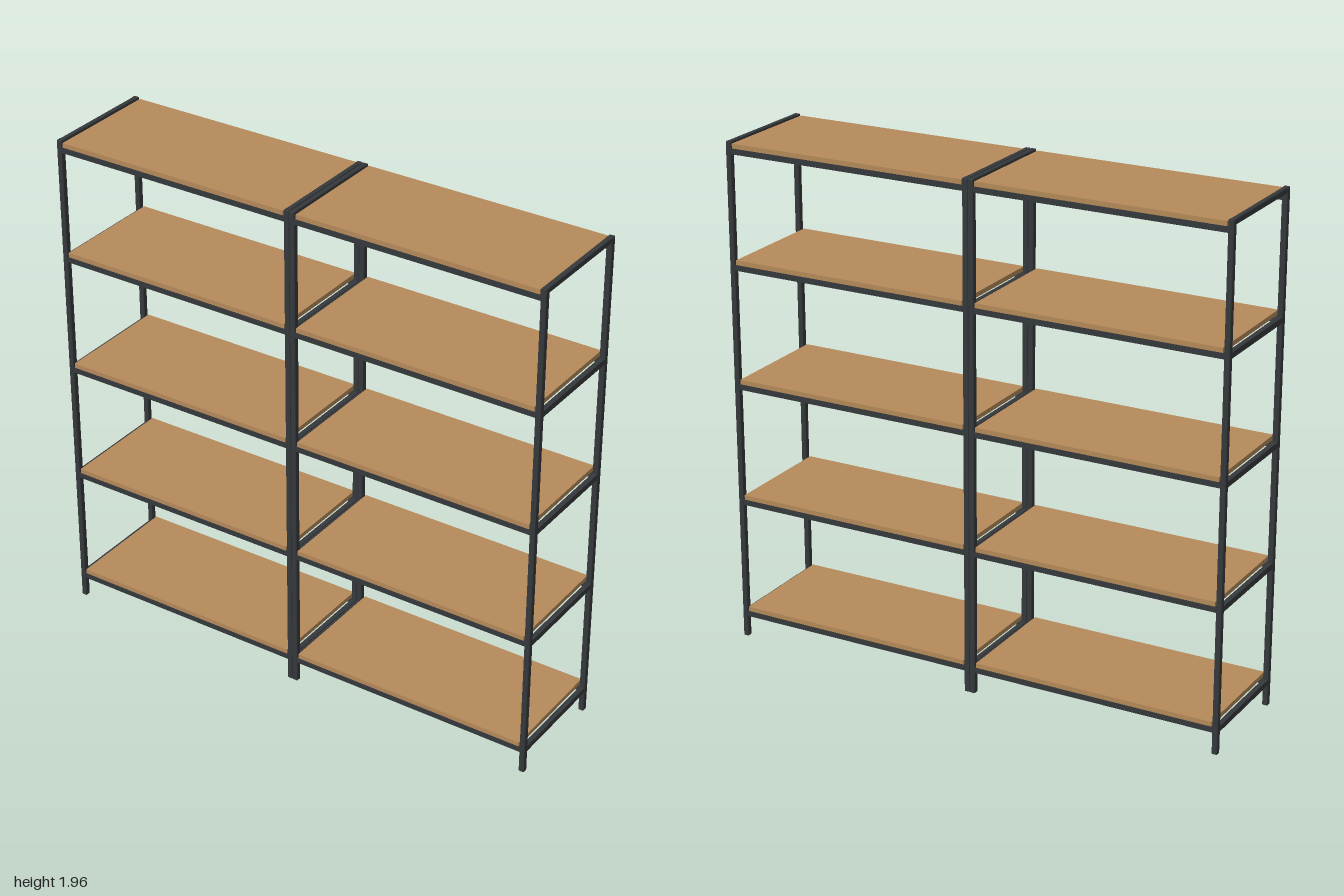
import * as THREE from 'three';
import { RoundedBoxGeometry } from 'three/addons/geometries/RoundedBoxGeometry.js';

export function createModel() {
  const model = new THREE.Group();
  model.name = 'doubleShelvingUnit';

  const metal = new THREE.MeshStandardMaterial({ color: 0x36393c });
  metal.name = 'dark metal';
  const wood = new THREE.MeshStandardMaterial({ color: 0xb58a5a });
  wood.name = 'oak board';

  const H = 1.957;      // overall height
  const T = 0.022;      // post thickness
  const R = 0.019;      // end rail width
  const postZ = 0.217;  // post centre depth
  const boardT = 0.018;
  const shelfTops = [0.124, 0.586, 1.049, 1.512, 1.95];

  // box given by its centre x, z and its lower and upper y
  function bar(parent, name, material, x, z, y0, y1, w, d, rounded = false) {
    const h = y1 - y0;
    const geometry = rounded
      ? new RoundedBoxGeometry(w, h, d, 2, 0.004)
      : new THREE.BoxGeometry(w, h, d);
    const mesh = new THREE.Mesh(geometry, material);
    mesh.name = name;
    mesh.position.set(x, (y0 + y1) / 2, z);
    parent.add(mesh);
  }

  for (const side of [-1, 1]) {
    const bay = new THREE.Group();
    bay.name = side > 0 ? 'leftBay' : 'rightBay';
    model.add(bay);

    const outerX = side * (1 - T / 2);
    const innerX = side * T / 2;
    const midX = side * 0.5;

    // end frames: two posts joined by rails
    for (const x of [outerX, innerX]) {
      for (const z of [-postZ, postZ]) bar(bay, 'post', metal, x, z, 0, H, T, T, true);
      bar(bay, 'topEndRail', metal, x, 0, H - T, H, R, 2 * postZ, true);
      for (const top of shelfTops.slice(0, -1)) {
        const y = top - boardT;
        bar(bay, 'endRail', metal, x, 0, y - T, y, R, 2 * postZ - T);
      }
    }

    // boards resting on the front and back rails
    for (const top of shelfTops) {
      const y = top - boardT;
      bar(bay, 'shelfBoard', wood, midX, 0, y, top, 0.948, 2 * postZ + 0.018);
      for (const z of [-postZ, postZ]) {
        bar(bay, z > 0 ? 'frontRail' : 'backRail', metal, midX, z, y - T, y, 1 - 2 * T + 0.004, R);
      }
    }
  }
  return model;
}
